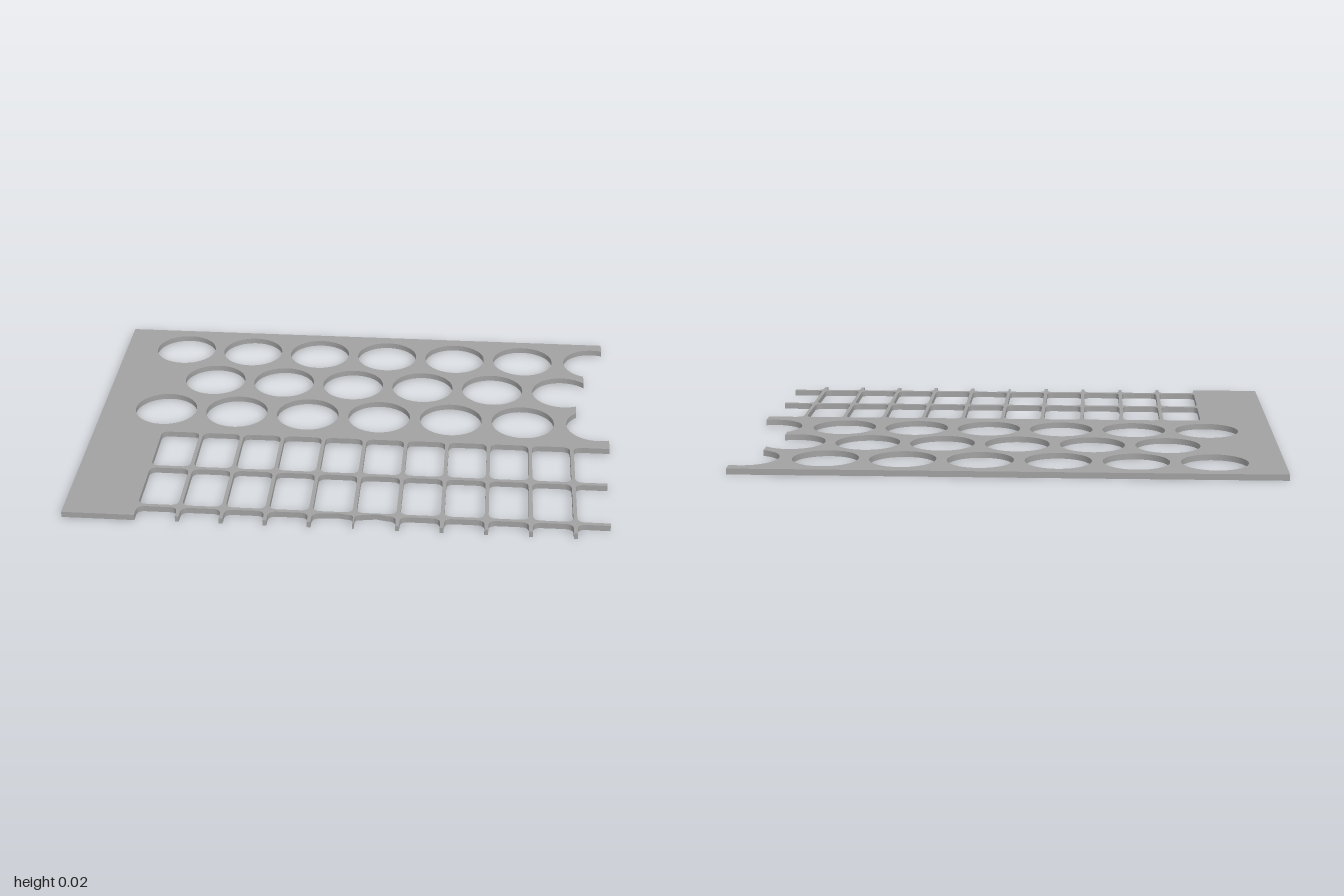
import * as THREE from 'three';
import { toCreasedNormals } from 'three/addons/utils/BufferGeometryUtils.js';

const THICK = 0.022;          // sheet thickness
const R = 0.122;              // round hole radius
const PITCH = 0.283;          // round hole spacing
const BAR = 0.007;            // half width of the thin bars
const F = 0.03;               // corner fillet
const BAR_X = Array.from({ length: 10 }, (_, i) => -0.578 + i * 0.1592);
const ROWS = [[0.13, 0.385], [0.402, 0.657]];   // back and front z of the cell rows
const PANEL_X = -0.733, LAST_Z = 0.673, END_Z = 0.733;

// All paths are drawn in plan as (x, z); shape y is -z.
const line = (p, x, z) => p.lineTo(x, -z);
const curve = (p, cx, cz, x, z) => p.quadraticCurveTo(cx, -cz, x, -z);

// Part of a round hole that breaks through the right edge, from x0 to x1
function bite(p, cx, cz, x0, x1) {
  const a0 = Math.acos((x0 - cx) / R), a1 = 2 * Math.PI - Math.acos((x1 - cx) / R);
  p.absarc(cx, -cz, R, a0, a1, false);
}

// Holes run counterclockwise, against the clockwise outline, so their walls face inwards
function roundHole(cx, cz) {
  return new THREE.Path().absarc(cx, -cz, R, 0, Math.PI * 2, false);
}

function cellHole(x0, x1, z0, z1) {
  const p = new THREE.Path();
  p.moveTo(x0 + F, -z0);
  curve(p, x0, z0, x0, z0 + F); line(p, x0, z1 - F);
  curve(p, x0, z1, x0 + F, z1); line(p, x1 - F, z1);
  curve(p, x1, z1, x1, z1 - F); line(p, x1, z0 + F);
  curve(p, x1, z0, x1 - F, z0); line(p, x0 + F, z0);
  return p;
}

function sheetOutline() {
  const s = new THREE.Shape();
  s.moveTo(-1, 0.735);
  line(s, 1, -0.735);
  // broken right edge through three round holes
  bite(s, 0.96, -0.564, 1, 0.917);
  bite(s, 0.829, -0.306, 0.917, 0.88);
  bite(s, 0.96, -0.049, 0.88, 1);
  line(s, 1, 0.13);
  // cells open to the right, with the free ends of the long bars
  const xr = BAR_X[9] + BAR;
  ROWS.forEach(([z0, z1]) => {
    line(s, xr + F, z0); curve(s, xr, z0, xr, z0 + F);
    line(s, xr, z1 - F); curve(s, xr, z1, xr + F, z1);
    line(s, 0.98, z1); line(s, 0.98, z1 + 0.017);
  });
  // stubs along the front, one of them worn thin
  for (let i = 9; i >= 0; i--) {
    const x = BAR_X[i], worn = i === 4, h = worn ? 0.003 : BAR, f = worn ? 0.02 : F;
    if (worn) line(s, x + 0.08, 0.663);
    line(s, x + h + f, LAST_Z); curve(s, x + h, LAST_Z, x + h, LAST_Z + f);
    line(s, x + h, END_Z); line(s, x - h, END_Z);
    line(s, x - h, LAST_Z + f); curve(s, x - h, LAST_Z, x - h - f, LAST_Z);
    if (worn) line(s, x - 0.06, 0.666);
  }
  // solid left panel
  line(s, PANEL_X + F, LAST_Z); curve(s, PANEL_X, LAST_Z, PANEL_X, LAST_Z + F);
  line(s, PANEL_X, 0.735);
  line(s, -1, 0.735);
  s.closePath();
  return s;
}

export function createModel() {
  const shape = sheetOutline();

  // three staggered rows of round holes
  [[-0.747, -0.564, 6], [-0.587, -0.306, 5], [-0.747, -0.049, 6]].forEach(([x, z, n]) => {
    for (let i = 0; i < n; i++) shape.holes.push(roundHole(x + i * PITCH, z));
  });

  // two rows of rounded rectangular cells between the bars
  ROWS.forEach(([z0, z1]) => BAR_X.forEach((x, i) => {
    const left = i ? BAR_X[i - 1] + BAR : PANEL_X;
    shape.holes.push(cellHole(left, x - BAR, z0, z1));
  }));

  const geometry = new THREE.ExtrudeGeometry(shape, {
    depth: THICK, bevelEnabled: false, curveSegments: 32,
  });
  geometry.rotateX(-Math.PI / 2);

  const sheet = new THREE.Mesh(
    toCreasedNormals(geometry, 0.6),
    new THREE.MeshStandardMaterial({ color: 0xa1a1a1 }),
  );
  sheet.name = 'perforatedSheet';
  const group = new THREE.Group();
  group.name = 'perforatedPanel';
  group.add(sheet);
  return group;
}
